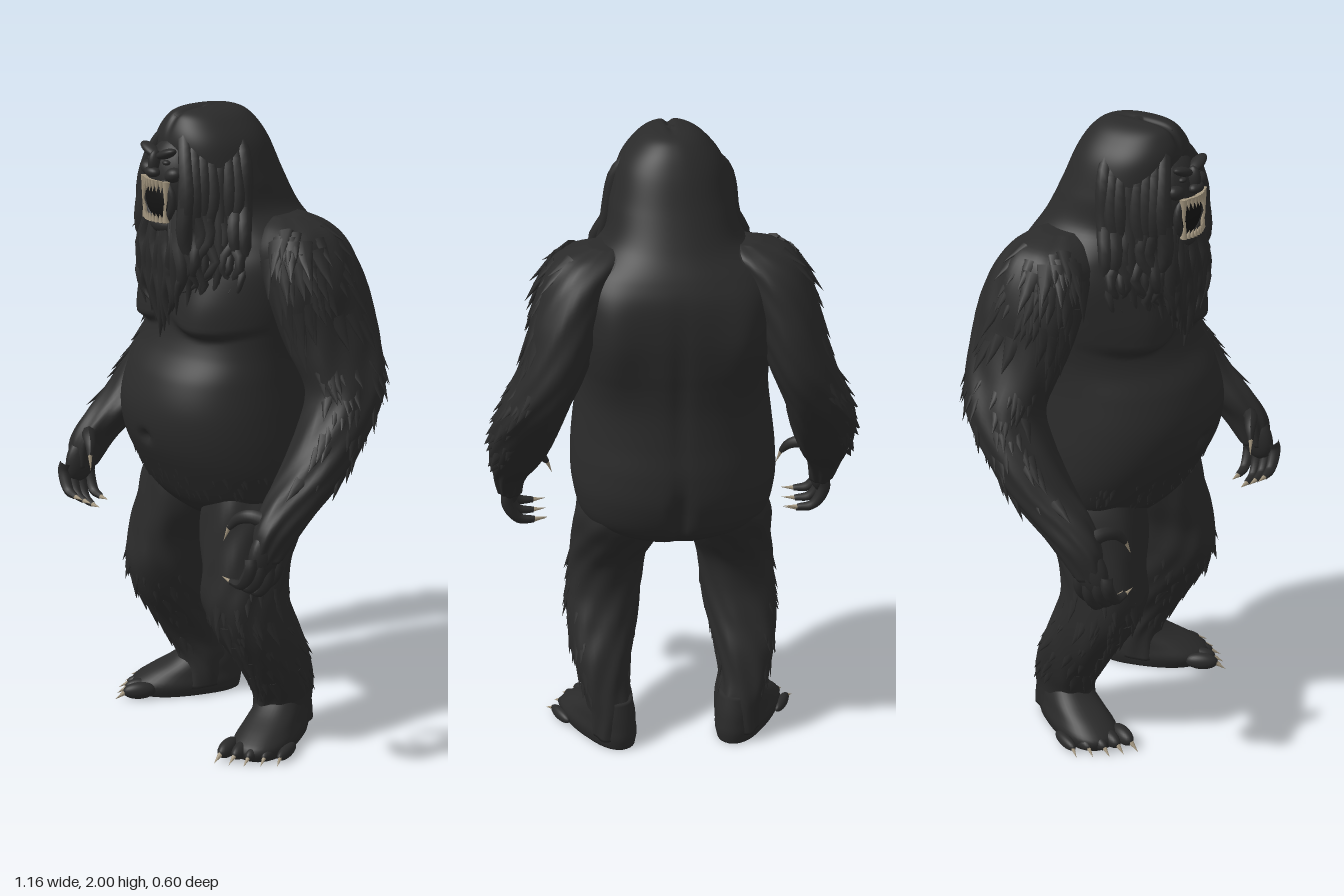
import * as THREE from 'three';
import { mergeGeometries } from 'three/addons/utils/BufferGeometryUtils.js';

const V = (x, y, z) => new THREE.Vector3(x, y, z);
const material = (name, color) => Object.assign(new THREE.MeshStandardMaterial({ color }), { name });
const bell = (v, w) => Math.exp(-((v / w) ** 2));
const { smoothstep } = THREE.MathUtils;

let seed = 7;
const rnd = () => (seed = (seed * 16807) % 2147483647) / 2147483647;

// Smooth interpolation of sections [y, centreX, radiusX, backZ, frontZ]
function sample(sections, t) {
  const n = sections.length - 1, f = Math.min(t, 0.99999) * n, i = Math.floor(f), u = f - i;
  const at = k => sections[Math.max(0, Math.min(n, k))];
  return at(i).map((b, k) => {
    const a = at(i - 1)[k], c = at(i + 1)[k], d = at(i + 2)[k];
    return b + 0.5 * u * (c - a + u * (2 * a - 5 * b + 4 * c - d + u * (3 * (b - c) + d - a)));
  });
}
function surfacePoint(sections, t, a) {
  const [y, cx, rx, zb, zf] = sample(sections, t);
  const soft = v => Math.sign(v) * Math.abs(v) ** 0.9;
  return V(cx + rx * soft(Math.cos(a)), y, (zb + zf) / 2 + (zf - zb) / 2 * soft(Math.sin(a)));
}
// Closed skin over horizontal cross-sections, listed bottom to top
function loft(sections, seg, rings, rule) {
  const pos = [], index = [];
  for (let i = 0; i <= rings; i++) for (let j = 0; j < seg; j++) {
    const p = surfacePoint(sections, i / rings, j / seg * Math.PI * 2);
    rule(p, j / seg * Math.PI * 2);
    pos.push(p.x, p.y, p.z);
  }
  for (let i = 0; i < rings; i++) for (let j = 0; j < seg; j++) {
    const k = (j + 1) % seg, a = i * seg + j, b = i * seg + k;
    index.push(a, a + seg, b, a + seg, b + seg, b);
  }
  const low = pos.length / 3, top = rings * seg;
  [sections[0], sections[sections.length - 1]].forEach(s => pos.push(s[1], s[0], (s[3] + s[4]) / 2));
  for (let j = 0; j < seg; j++) {
    const k = (j + 1) % seg;
    index.push(low, j, k, low + 1, top + k, top + j);
  }
  const g = new THREE.BufferGeometry();
  g.setAttribute('position', new THREE.Float32BufferAttribute(pos, 3));
  g.setIndex(index);
  g.computeVertexNormals();
  return g;
}
function ball(x, y, z, rx, ry, rz, rot = 0) {
  return new THREE.SphereGeometry(1, 24, 16).scale(rx, ry, rz).rotateZ(rot).translate(x, y, z);
}
// Tapered spike from base to tip, flattened along a normal
function spike(base, tip, r, normal = V(0, 0, 1), flat = 1) {
  const y = tip.clone().sub(base), len = y.length();
  y.normalize();
  const x = y.clone().cross(normal).normalize(), z = x.clone().cross(y);
  return new THREE.ConeGeometry(r, len, 7, 2).translate(0, len / 2, 0).scale(1, 1, flat)
    .applyMatrix4(new THREE.Matrix4().makeBasis(x, y, z).setPosition(base));
}
// Curved strand, thick in the middle and narrowing to its end
function strand(points, r, end = 0.05, start = 0.6) {
  const curve = new THREE.CatmullRomCurve3(points), n = 18, sides = 8;
  const g = new THREE.TubeGeometry(curve, n, r, sides), p = g.attributes.position;
  for (let v = 0; v < p.count; v++) {
    const u = Math.floor(v / (sides + 1)) / n, c = curve.getPointAt(u);
    const s = u < 0.4 ? start + (1 - start) * u / 0.4 : 1 + (end - 1) * ((u - 0.4) / 0.6) ** 1.5;
    const q = V().fromBufferAttribute(p, v).sub(c).multiplyScalar(s).add(c);
    p.setXYZ(v, q.x, q.y, q.z);
  }
  g.computeVertexNormals();
  return g;
}
// Hair tufts lying on a lofted limb, pointing down
function tufts(sections, count, t0, t1, a0, a1, len, out) {
  return Array.from({ length: count }, () => {
    const t = t0 + (t1 - t0) * rnd(), a = a0 + (a1 - a0) * rnd(), l = len * (0.7 + 0.6 * rnd());
    const p = surfacePoint(sections, t, a), q = surfacePoint(sections, Math.max(0, t - 0.03), a);
    const n = V(Math.cos(a), 0, Math.sin(a));
    const dir = q.sub(p).normalize().addScaledVector(n, out).normalize();
    return spike(p.clone().addScaledVector(n, -0.012), p.clone().addScaledVector(dir, l), l * 0.3, n, 0.45);
  });
}
function mirrored(g) {
  const m = g.clone().scale(-1, 1, 1), ix = m.index.array;
  for (let i = 0; i < ix.length; i += 3) [ix[i], ix[i + 1]] = [ix[i + 1], ix[i]];
  return m;
}

const BODY = [
  [0.70, 0, 0.05, -0.09, 0.05], [0.74, 0, 0.18, -0.18, 0.12], [0.80, 0, 0.28, -0.255, 0.185],
  [0.90, 0, 0.313, -0.293, 0.245], [1.0, 0, 0.315, -0.297, 0.29], [1.1, 0, 0.305, -0.285, 0.303],
  [1.2, 0, 0.292, -0.278, 0.275], [1.28, 0, 0.288, -0.282, 0.225], [1.35, 0, 0.295, -0.29, 0.2],
  [1.45, 0, 0.31, -0.296, 0.19], [1.55, 0, 0.315, -0.288, 0.175], [1.62, 0, 0.285, -0.262, 0.155],
  [1.7, 0, 0.205, -0.217, 0.16], [1.8, 0, 0.182, -0.168, 0.2], [1.9, 0, 0.155, -0.124, 0.205],
  [1.96, 0, 0.11, -0.085, 0.185], [1.99, 0, 0.065, -0.04, 0.15], [2.0, 0, 0.01, 0.04, 0.07]];
const ARM = [
  [0.75, 0.5, 0.035, 0.15, 0.245], [0.84, 0.5, 0.053, 0.07, 0.235], [0.92, 0.485, 0.075, -0.03, 0.18],
  [1.0, 0.472, 0.092, -0.11, 0.1], [1.1, 0.453, 0.102, -0.19, 0.03], [1.2, 0.425, 0.102, -0.258, -0.015],
  [1.3, 0.38, 0.1, -0.29, 0.01], [1.4, 0.345, 0.1, -0.29, 0.035], [1.5, 0.318, 0.106, -0.272, 0.06],
  [1.6, 0.28, 0.108, -0.24, 0.06], [1.66, 0.235, 0.105, -0.195, 0.02], [1.69, 0.2, 0.05, -0.14, -0.03]];
const LEG = [
  [0.03, 0.205, 0.072, -0.185, 0.03], [0.12, 0.207, 0.074, -0.18, 0.015], [0.2, 0.225, 0.08, -0.165, 0.05],
  [0.3, 0.23, 0.1, -0.14, 0.11], [0.4, 0.224, 0.115, -0.1, 0.17], [0.5, 0.214, 0.119, -0.07, 0.203],
  [0.6, 0.203, 0.12, -0.08, 0.193], [0.7, 0.178, 0.134, -0.14, 0.18], [0.8, 0.162, 0.138, -0.2, 0.165],
  [0.9, 0.15, 0.11, -0.2, 0.14]];
const FOOT = [
  [0, 0, 0.076, -0.112, 0.235], [0.035, 0, 0.083, -0.118, 0.245], [0.07, 0, 0.076, -0.115, 0.195],
  [0.11, 0, 0.07, -0.108, 0.115], [0.16, 0, 0.056, -0.095, 0.05]];

export function createModel() {
  const model = new THREE.Group();
  const fur = material('charcoal fur', 0x2a2a2a), bone = material('bone', 0xa3967f), dark = material('mouth black', 0x141414);
  const add = (name, geos, mat, both = false) => {
    geos.forEach(g => g.deleteAttribute('uv'));
    const g = mergeGeometries(geos);
    const put = (geo, n) => {
      const mesh = new THREE.Mesh(geo, mat);
      mesh.name = n;
      model.add(mesh);
    };
    put(g, both ? name + 'Left' : name);
    if (both) put(mirrored(g), name + 'Right');
  };

  // Torso and mane in one skin: spine, cleft, shoulder blades, sagging chest, navel, centre parting
  add('torso', [loft(BODY, 120, 150, p => {
    const { x, y } = p, ax = Math.abs(x);
    if (p.z < 0) {
      p.z += 0.035 * bell(x, 0.022) * bell(y - 0.85, 0.1);
      if (y > 0.95 && y < 1.6) p.z += 0.008 * bell(x, 0.022) * Math.sin((y - 0.95) / 0.65 * Math.PI);
      p.z -= 0.035 * bell(ax - 0.215, 0.08) * bell(y - 1.42, 0.16);
    } else {
      const fold = 1.335 + 1.6 * (ax - 0.15) ** 2;
      p.z += 0.042 * bell(ax - 0.15, 0.11) * smoothstep(y, fold - 0.012, fold + 0.025) * (1 - smoothstep(y, 1.38, 1.6));
      p.z -= 0.025 * bell(x, 0.02) * bell(y - 1.01, 0.018);
    }
    if (y > 1.9) p.y -= 0.012 * bell(x, 0.012) * smoothstep(p.z, -0.05, 0.1);
  })], fur);
  add('shoulderSlope', [ball(0.175, 1.6, -0.09, 0.17, 0.095, 0.125, -0.3)], fur, true);
  add('hipFringe', tufts(BODY, 80, 0.14, 0.21, 0.2, 2.94, 0.055, 0.08), fur);

  // Arms
  const ripple = (p, a) => {
    const d = 0.005 * Math.sin(7 * a + 12 * p.y) * Math.sin(19 * p.y + 2 * a);
    p.x += d * Math.cos(a);
    p.z += d * Math.sin(a);
  };
  add('arm', [loft(ARM, 48, 70, ripple)], fur, true);
  add('armHair', [
    ...tufts(ARM, 48, 0.22, 0.54, -1.2, 1.2, 0.065, 0.2),
    ...tufts(ARM, 55, 0.62, 0.92, -0.6, 1.6, 0.1, 0.12)], fur, true);

  // Hands: palm, four curled fingers and a thumb, each with a claw
  const hand = [ball(0, 0, 0, 0.034, 0.08, 0.055).rotateX(-0.35).translate(0.5, 0.775, 0.205)], claws = [];
  for (let i = 0; i < 4; i++) {
    const z = 0.172 + 0.032 * i, y = 0.632 + 0.02 * Math.abs(i - 1);
    hand.push(strand([V(0.503, 0.77, z - 0.005), V(0.51, y + 0.07, z), V(0.475, y + 0.012, z + 0.005), V(0.425, y + 0.004, z + 0.008)], 0.019, 0.5, 1));
    claws.push(spike(V(0.43, y + 0.004, z + 0.008), V(0.383, y + 0.008, z + 0.01), 0.008));
  }
  hand.push(strand([V(0.48, 0.86, 0.185), V(0.44, 0.872, 0.215), V(0.4, 0.855, 0.235), V(0.378, 0.825, 0.25)], 0.021, 0.4, 1.2));
  claws.push(spike(V(0.38, 0.83, 0.249), V(0.362, 0.78, 0.258), 0.008));
  add('hand', hand, fur, true);
  add('fingerClaws', claws, bone, true);

  // Legs
  add('leg', [loft(LEG, 48, 60, ripple)], fur, true);
  add('legHair', [
    ...tufts(LEG, 55, 0.2, 0.66, -1.0, 1.6, 0.075, 0.12),
    ...tufts(LEG, 28, 0.22, 0.58, 1.6, 3.4, 0.06, 0.1)], fur, true);

  // Splayed feet with toes and claws
  const place = g => g.rotateY(0.45).translate(0.212, 0, -0.08);
  const foot = [loft(FOOT, 40, 16, p => { p.x *= 1 + Math.max(0, p.z); })], toeClaws = [];
  for (let i = 0; i < 5; i++) {
    const x = -0.07 + 0.041 * i, z = 0.25 - 0.012 * i - (i > 2 ? 0.014 * (i - 2) : 0), r = 0.028 - 0.002 * i;
    foot.push(ball(x, r, z - 0.02, r * 0.9, r, 0.055));
    toeClaws.push(spike(V(x, r * 1.1, z + 0.02), V(x * 1.1, 0.006, z + 0.062), r * 0.4, V(0, 1, 0)));
  }
  add('foot', foot.map(place), fur, true);
  add('toeClaws', toeClaws.map(place), bone, true);

  // Face
  add('face', [
    ball(0, 1.79, 0.165, 0.1, 0.13, 0.085), ball(0, 1.662, 0.2, 0.06, 0.035, 0.05),
    ball(0, 1.845, 0.243, 0.017, 0.04, 0.024), ball(0, 1.822, 0.254, 0.03, 0.016, 0.02),
    new THREE.TorusGeometry(0.068, 0.013, 10, 32).scale(1, 0.98, 1).translate(0, 1.738, 0.232)], fur);
  add('brow', [
    ball(0.04, 1.878, 0.232, 0.045, 0.014, 0.022, 0.35), ball(0.062, 1.818, 0.222, 0.032, 0.022, 0.025, 0.3),
    ball(0.038, 1.852, 0.23, 0.014, 0.008, 0.012)], fur, true);
  add('mouth', [ball(0, 1.738, 0.23, 0.064, 0.062, 0.022)], dark);

  // Teeth: upper and lower rows with long fangs
  const teeth = [];
  for (let i = -4; i <= 4; i++) {
    const x = i * 0.0138, z = 0.26 - 0.001 * i * i, fang = Math.abs(i) === 4;
    teeth.push(spike(V(x, 1.8, z), V(x * 1.08, fang ? 1.705 : 1.765, z + 0.006), fang ? 0.012 : 0.0095));
    teeth.push(spike(V(x * 0.95, 1.678, z), V(x * 0.95, fang ? 1.735 : 1.704, z + 0.006), fang ? 0.011 : 0.0085));
  }
  add('teeth', teeth, bone);

  // Long wavy locks framing the face and falling over the shoulders, in two layers
  const locks = [];
  for (let layer = 0; layer < 2; layer++) for (let i = 0; i < 8; i++) {
    const f = i / 7, w = 0.016 * Math.sin(i * 2.4 + layer * 2), v = 0.014 * Math.cos(i * 1.9 + layer);
    locks.push(strand([
      V(0.012 + 0.06 * f, 1.972 - 0.02 * f, 0.15 - 0.13 * f), V(0.08 + 0.075 * f, 1.87, 0.19 - 0.15 * f),
      V(0.105 + 0.075 * f + w / 2, 1.74, 0.205 - 0.15 * f), V(0.11 + 0.1 * f - w, 1.64, 0.205 - 0.13 * f + v),
      V(0.115 + 0.125 * f + w, 1.57 - 0.02 * layer, 0.215 - 0.12 * f - v),
      V(0.105 + 0.13 * f - w, 1.5 + 0.02 * Math.sin(i * 3), 0.222 - 0.115 * f + v),
      V(0.08 + 0.15 * f + w, 1.4 + 0.05 * f + 0.06 * layer, 0.228 - 0.115 * f)], 0.029));
  }
  add('hairLocks', locks, fur, true);

  // Beard hanging to a point over the chest
  const beard = [];
  for (let i = -5; i <= 5; i++) {
    const k = Math.abs(i), w = 0.012 * Math.sin(i * 2.1 + 1);
    beard.push(strand([
      V(i * 0.013, 1.685 + 0.006 * k, 0.215), V(i * 0.019 + w, 1.61, 0.23 - 0.002 * k),
      V(i * 0.02 - w, 1.53, 0.226), V(i * 0.019 + w, 1.45, 0.23),
      V(i * 0.014 - w, 1.31 + 0.024 * k, 0.226)], 0.025));
  }
  add('beard', beard, fur);
  return model;
}
